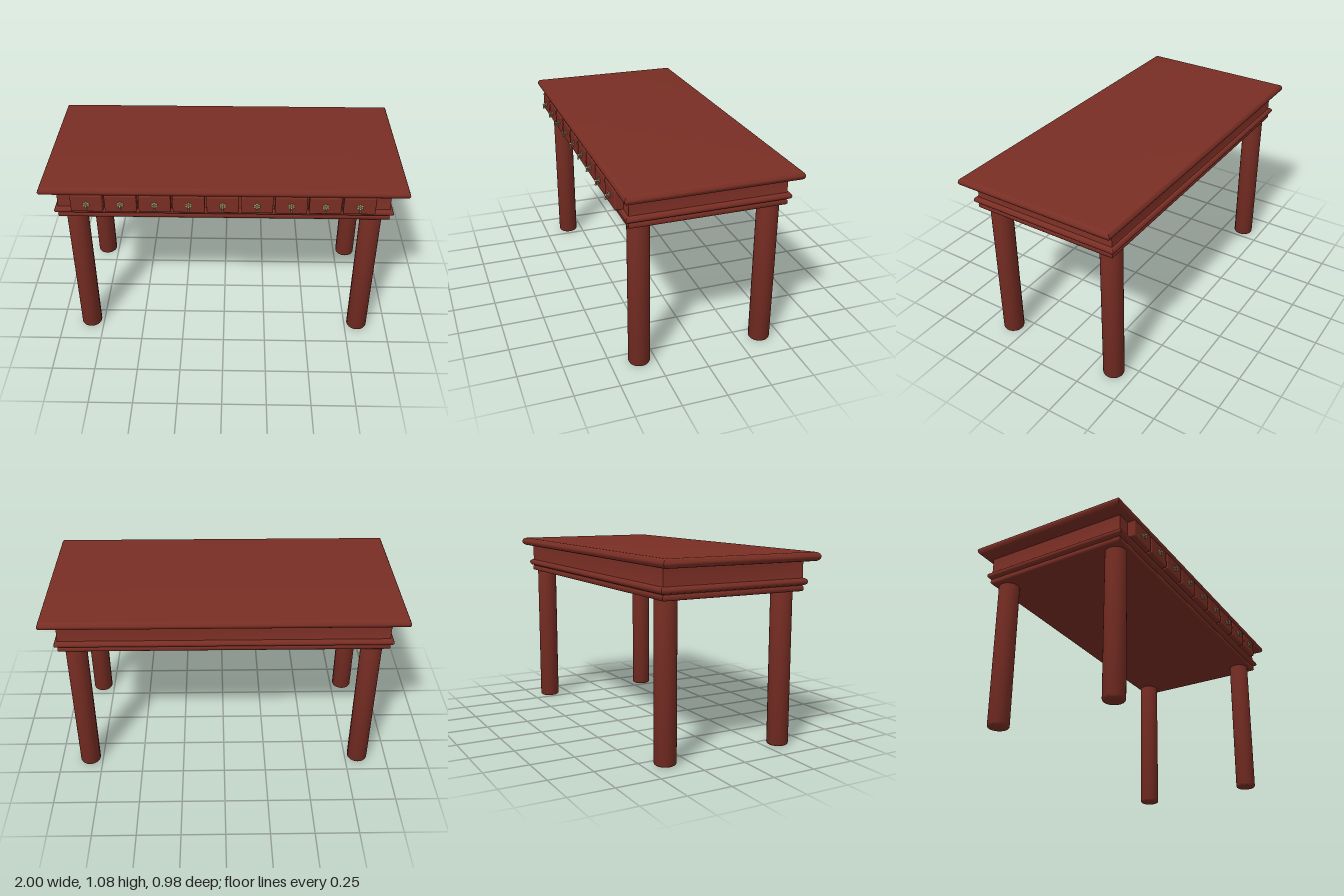
import * as THREE from 'three';
import { toCreasedNormals } from 'three/addons/utils/BufferGeometryUtils.js';
import { RoundedBoxGeometry } from 'three/addons/geometries/RoundedBoxGeometry.js';

const wood = new THREE.MeshStandardMaterial({ color: 0x792e24 });
wood.name = 'red wood';
const brass = new THREE.MeshStandardMaterial({ color: 0xa89870 });
brass.name = 'aged brass';

function add(parent, name, geometry, material, x = 0, y = 0, z = 0) {
  const mesh = new THREE.Mesh(geometry, material);
  mesh.name = name;
  mesh.position.set(x, y, z);
  parent.add(mesh);
  return mesh;
}

// Solid rectangle with a moulded edge; profile is [outward offset, y] from bottom to top
function mouldedSlab(halfX, halfZ, profile) {
  const pos = [], index = [];
  const corners = [[-1, 1], [1, 1], [1, -1], [-1, -1]];
  for (const [o, y] of profile)
    for (const [sx, sz] of corners) pos.push(sx * (halfX + o), y, sz * (halfZ + o));
  for (let i = 0; i < profile.length - 1; i++)
    for (let k = 0; k < 4; k++) {
      const a = i * 4 + k, b = i * 4 + (k + 1) % 4;
      index.push(a, b, b + 4, a, b + 4, a + 4);
    }
  const t = (profile.length - 1) * 4;
  index.push(0, 2, 1, 0, 3, 2, t, t + 1, t + 2, t, t + 2, t + 3);
  const g = new THREE.BufferGeometry();
  g.setAttribute('position', new THREE.Float32BufferAttribute(pos, 3));
  g.setIndex(index);
  return toCreasedNormals(g, 0.7);
}

// Points of a rounded bulge, bottom to top
function bulge(base, depth, y0, y1, steps = 10) {
  return Array.from({ length: steps + 1 }, (_, i) => {
    const a = -Math.PI / 2 + Math.PI * i / steps;
    return [base + depth * Math.cos(a), (y0 + y1) / 2 + (y1 - y0) / 2 * Math.sin(a)];
  });
}

// Ornate pull: flared rosette, stem, and a hanging drop
function makePull() {
  const pull = new THREE.Group();
  pull.name = 'drawerPull';
  const ball = (name, r, x, y, z, sx = 1, sy = 1, sz = 1) =>
    add(pull, name, new THREE.SphereGeometry(r, 10, 8), brass, x, y, z).scale.set(sx, sy, sz);
  for (let i = 0; i < 6; i++) {
    const a = Math.PI / 2 + i * Math.PI / 3;
    ball('rosettePetal', 0.007, 0.012 * Math.cos(a), 0.012 * Math.sin(a), 0.002, 1, 1, 0.5);
  }
  const stem = new THREE.CylinderGeometry(0.004, 0.006, 0.022, 10).rotateX(Math.PI / 2);
  add(pull, 'pullStem', stem, brass, 0, 0, 0.011);
  ball('pullKnuckle', 0.0065, 0, 0, 0.02);
  const drop = new THREE.LatheGeometry([
    [0, -0.027], [0.004, -0.026], [0.006, -0.021], [0.004, -0.014], [0.003, -0.006], [0.004, 0],
  ].map(p => new THREE.Vector2(...p)), 10);
  add(pull, 'pullDrop', drop, brass, 0, 0, 0.02);
  return pull;
}

export function createModel() {
  const table = new THREE.Group();
  table.name = 'table';
  const midZ = -0.013;

  // Top with rounded edge
  add(table, 'tableTop', mouldedSlab(0.975, 0.451, bulge(0, 0.025, 1.031, 1.08)), wood, 0, 0, midZ);

  // Apron with base moulding
  add(table, 'apron', mouldedSlab(0.912, 0.431, [
    [-0.012, 0.864], [-0.003, 0.866], [0.002, 0.872], [0.002, 0.888], [-0.003, 0.896],
    ...bulge(0, 0.018, 0.899, 0.936), [-0.002, 0.942], [-0.002, 1.035],
  ]), wood, 0, 0, midZ);

  // Round legs with softened feet
  const legProfile = [[0, 0], [0.052, 0], [0.057, 0.003], [0.06, 0.01], [0.06, 0.87]];
  const legGeo = toCreasedNormals(
    new THREE.LatheGeometry(legProfile.map(p => new THREE.Vector2(...p)), 32), 0.7);
  for (const x of [-0.825, 0.825])
    for (const z of [0.341, -0.38])
      add(table, z > 0 ? 'frontLeg' : 'backLeg', legGeo, wood, x, 0, z);

  // Nine drawer fronts with pulls
  const drawerGeo = new RoundedBoxGeometry(0.175, 0.106, 0.06, 3, 0.008);
  for (let i = -4; i <= 4; i++) {
    const x = i * 0.185 - 0.003;
    add(table, 'drawerFront', drawerGeo, wood, x, 0.984, 0.432);
    const pull = makePull();
    pull.position.set(x, 0.982, 0.462);
    table.add(pull);
  }
  return table;
}
